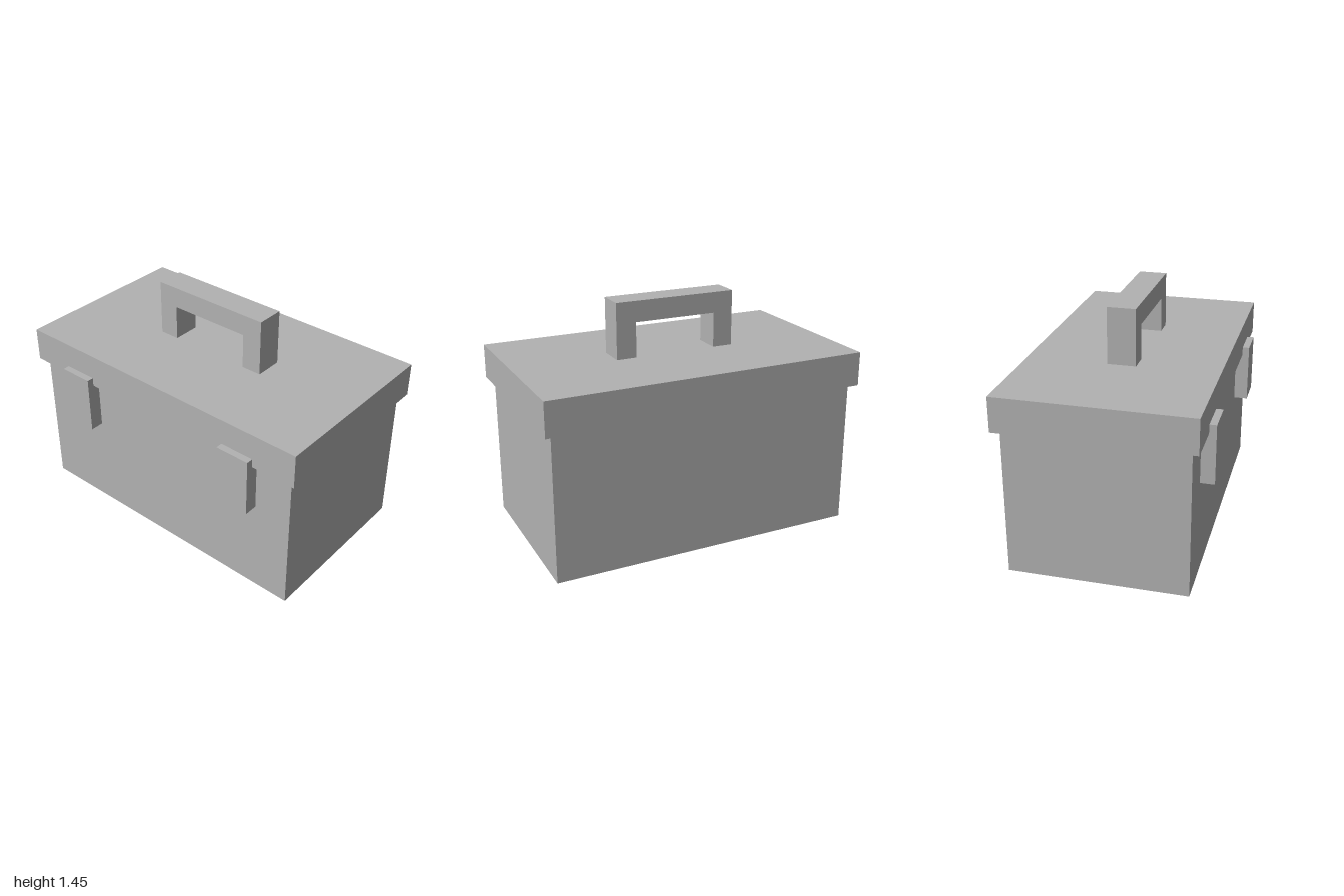
import * as THREE from 'three';

export function createModel() {
  const model = new THREE.Group();
  model.name = 'toolbox';
  const grey = new THREE.MeshStandardMaterial({ color: 0xb2b2b2 });
  grey.name = 'grey';

  const add = (name, geometry) => {
    const mesh = new THREE.Mesh(geometry, grey);
    mesh.name = name;
    model.add(mesh);
    return mesh;
  };

  // Box given by its lowest and highest corners
  const box = (name, [x0, y0, z0], [x1, y1, z1]) =>
    add(name, new THREE.BoxGeometry(x1 - x0, y1 - y0, z1 - z0))
      .position.set((x0 + x1) / 2, (y0 + y1) / 2, (z0 + z1) / 2);

  // Body and overhanging lid
  box('body', [-0.957, 0, -0.555], [0.957, 0.897, 0.513]);
  box('lid', [-1, 0.897, -0.597], [1, 1.107, 0.555]);

  // Front latches, lapping over the lid's edge
  box('leftLatch', [0.508, 0.59, 0.513], [0.722, 0.95, 0.597]);
  box('rightLatch', [-0.722, 0.59, 0.513], [-0.508, 0.95, 0.597]);

  // Square arch handle
  const arch = new THREE.Shape([
    [-0.383, 0], [-0.258, 0], [-0.258, 0.215], [0.258, 0.215],
    [0.258, 0], [0.383, 0], [0.383, 0.343], [-0.383, 0.343],
  ].map(([x, y]) => new THREE.Vector2(x, y)));
  add('handle', new THREE.ExtrudeGeometry(arch, { depth: 0.17, bevelEnabled: false }))
    .position.set(0, 1.107, -0.106);

  return model;
}
